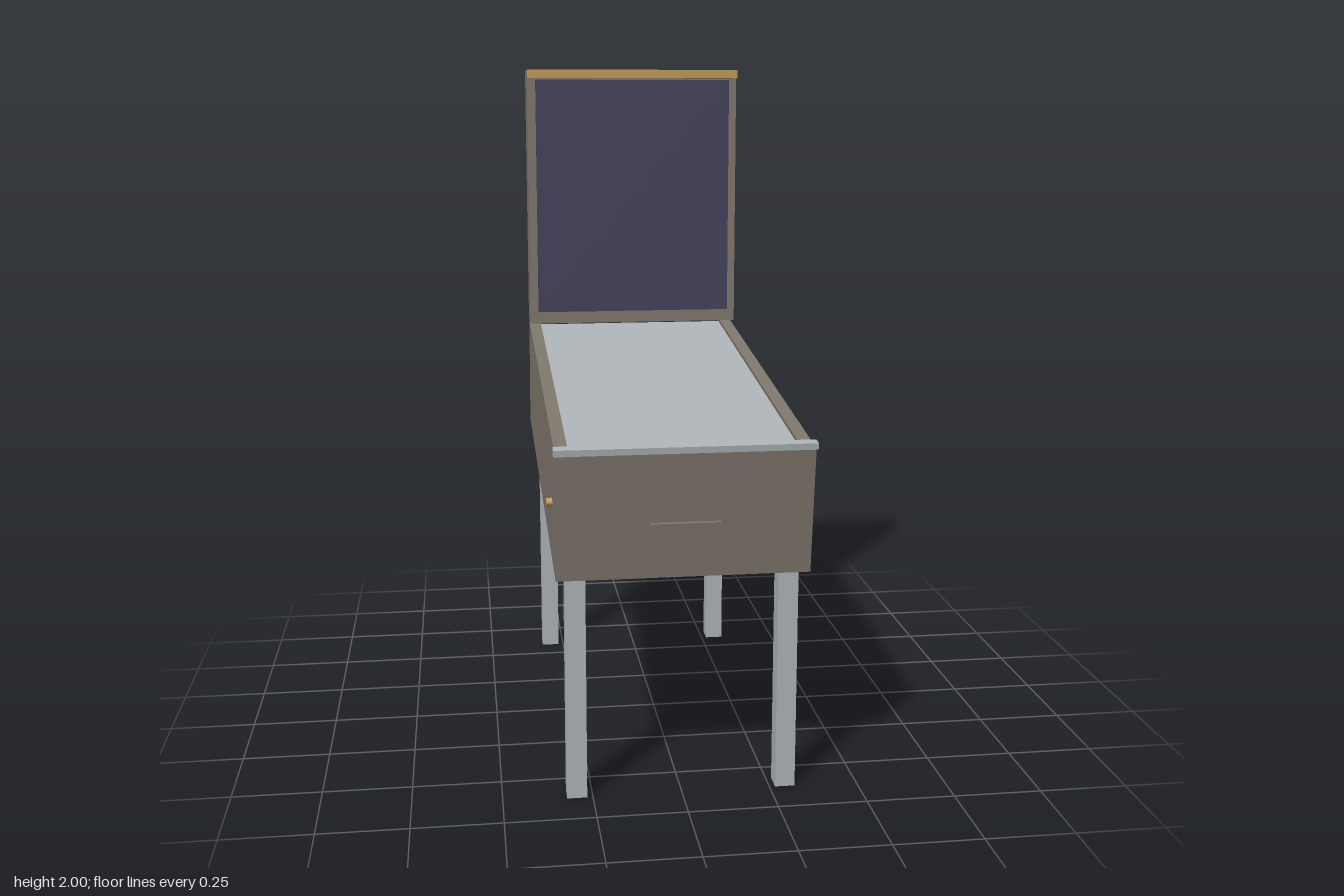
import * as THREE from 'three';

const mat = (name, color) => {
  const m = new THREE.MeshStandardMaterial({ color });
  m.name = name;
  return m;
};

export function createModel() {
  const brown = mat('brown cabinet', 0x80786e);
  const metal = mat('grey metal', 0xaeb5b9);
  const navy = mat('navy glass', 0x43425c);
  const gold = mat('gold trim', 0xc49a5c);

  const model = new THREE.Group();
  model.name = 'pinballTable';

  const box = (parent, name, material, size, pos) => {
    const mesh = new THREE.Mesh(new THREE.BoxGeometry(...size), material);
    mesh.name = name;
    mesh.position.set(...pos);
    parent.add(mesh);
    return mesh;
  };

  // Sloping hollow cabinet, built level and then tilted toward the player
  const W = 0.696, H = 0.358, L = 1.365, T = 0.037;
  const inner = W - 2 * T;
  const cabinet = new THREE.Group();
  cabinet.name = 'cabinet';
  cabinet.position.y = 0.8975;
  cabinet.rotation.x = 0.1175;
  model.add(cabinet);

  box(cabinet, 'floor', brown, [inner, T, L], [0, -H / 2 + T / 2, 0]);
  box(cabinet, 'frontWall', brown, [inner, H - T, T], [0, T / 2, L / 2 - T / 2]);
  box(cabinet, 'backWall', brown, [inner, H - T - 0.016, T], [0, T / 2 - 0.008, -L / 2 + T / 2]);
  box(cabinet, 'playfield', metal, [inner, 0.012, 1.27], [0, 0.163, -0.03]);
  box(cabinet, 'lockBar', metal, [0.706, 0.018, 0.032], [0, 0.185, 0.669]);
  box(cabinet, 'coinDoor', brown, [0.19, 0.14, 0.012], [0, -0.089, L / 2 + 0.004]);

  for (const s of [-1, 1]) {
    box(cabinet, 'sideWall', brown, [T, H, L], [s * (W / 2 - T / 2), 0, 0]);

    // Flipper buttons
    const button = new THREE.Mesh(new THREE.CylinderGeometry(0.012, 0.012, 0.03, 12), gold);
    button.name = 'flipperButton';
    button.rotation.z = Math.PI / 2;
    button.position.set(s * 0.349, 0.83, 0.543);
    model.add(button);

    // Square legs, the rear pair taller
    box(model, 'frontLeg', metal, [0.056, 0.65, 0.056], [s * 0.294, 0.325, 0.6]);
    box(model, 'backLeg', metal, [0.056, 0.8, 0.056], [s * 0.294, 0.4, -0.611]);
  }

  // Upright back box with display panel and top trim
  const backBox = new THREE.Group();
  backBox.name = 'backBox';
  model.add(backBox);
  box(backBox, 'backBoxBody', brown, [W, 0.84, 0.138], [0, 1.58, -0.614]);
  box(backBox, 'displayPanel', navy, [0.643, 0.767, 0.015], [0, 1.584, -0.538]);
  box(backBox, 'topTrim', gold, [W, 0.027, 0.022], [0, 1.9865, -0.535]);

  return model;
}
